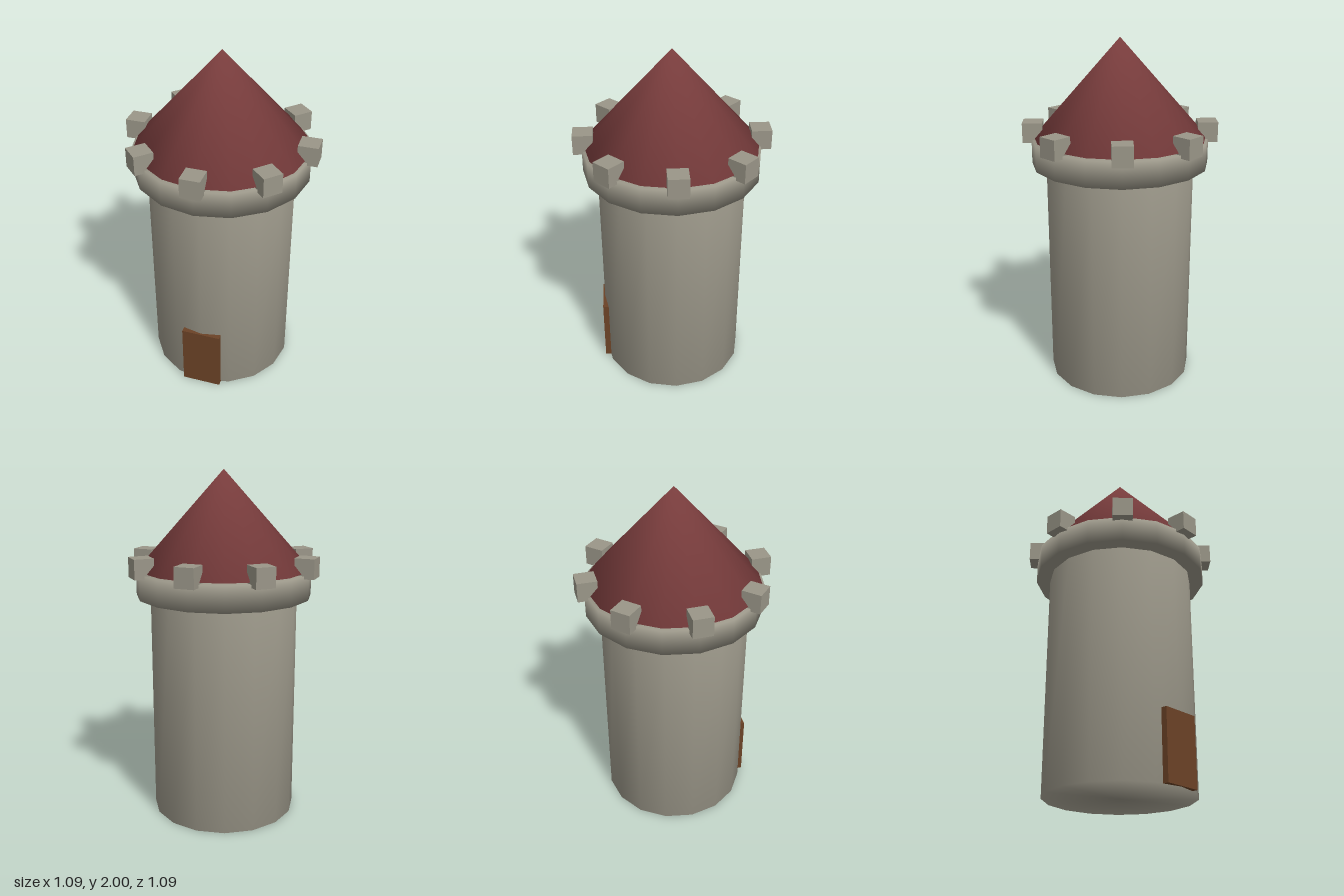
import * as THREE from 'three';
import { mergeVertices } from 'three/addons/utils/BufferGeometryUtils.js';

const SIDES = 16;

// Weld the corners so that shading flows smoothly over the rims
function smooth(geometry) {
  geometry.deleteAttribute('uv');
  geometry.deleteAttribute('normal');
  const welded = mergeVertices(geometry, 1e-4);
  welded.computeVertexNormals();
  return welded;
}

export function createModel() {
  const stone = new THREE.MeshStandardMaterial({ color: 0x9a9688 });
  stone.name = 'stone';
  const roofRed = new THREE.MeshStandardMaterial({ color: 0x7f4040 });
  roofRed.name = 'roofRed';
  const wood = new THREE.MeshStandardMaterial({ color: 0x6b4226 });
  wood.name = 'wood';

  const tower = new THREE.Group();
  tower.name = 'tower';

  const add = (name, geometry, material, x, y, z, parent = tower) => {
    const mesh = new THREE.Mesh(geometry, material);
    mesh.name = name;
    mesh.position.set(x, y, z);
    parent.add(mesh);
    return mesh;
  };

  // A smooth drum or cone standing between two heights
  const drum = (name, rTop, rBottom, y0, y1, material) =>
    add(name, smooth(new THREE.CylinderGeometry(rTop, rBottom, y1 - y0, SIDES)), material, 0, (y0 + y1) / 2, 0);

  // Shaft, overhanging parapet ring and roof
  drum('shaft', 0.42, 0.42, 0, 1.32, stone);
  drum('parapetRing', 0.5, 0.5, 1.297, 1.443, stone);
  drum('roof', 0, 0.487, 1.452, 2, roofRed);

  // Eight merlons around the ring
  const merlons = new THREE.Group();
  merlons.name = 'merlons';
  tower.add(merlons);
  const block = new THREE.BoxGeometry(0.112, 0.112, 0.112);
  for (let i = 0; i < 8; i++) {
    const a = (i / 8) * Math.PI * 2;
    const merlon = add('merlon', block, stone, Math.sin(a) * 0.489, 1.482, Math.cos(a) * 0.489, merlons);
    merlon.rotation.y = a;
  }

  // Door set into the front of the shaft
  add('door', new THREE.BoxGeometry(0.228, 0.39, 0.045), wood, 0, 0.195, 0.4085);

  return tower;
}
